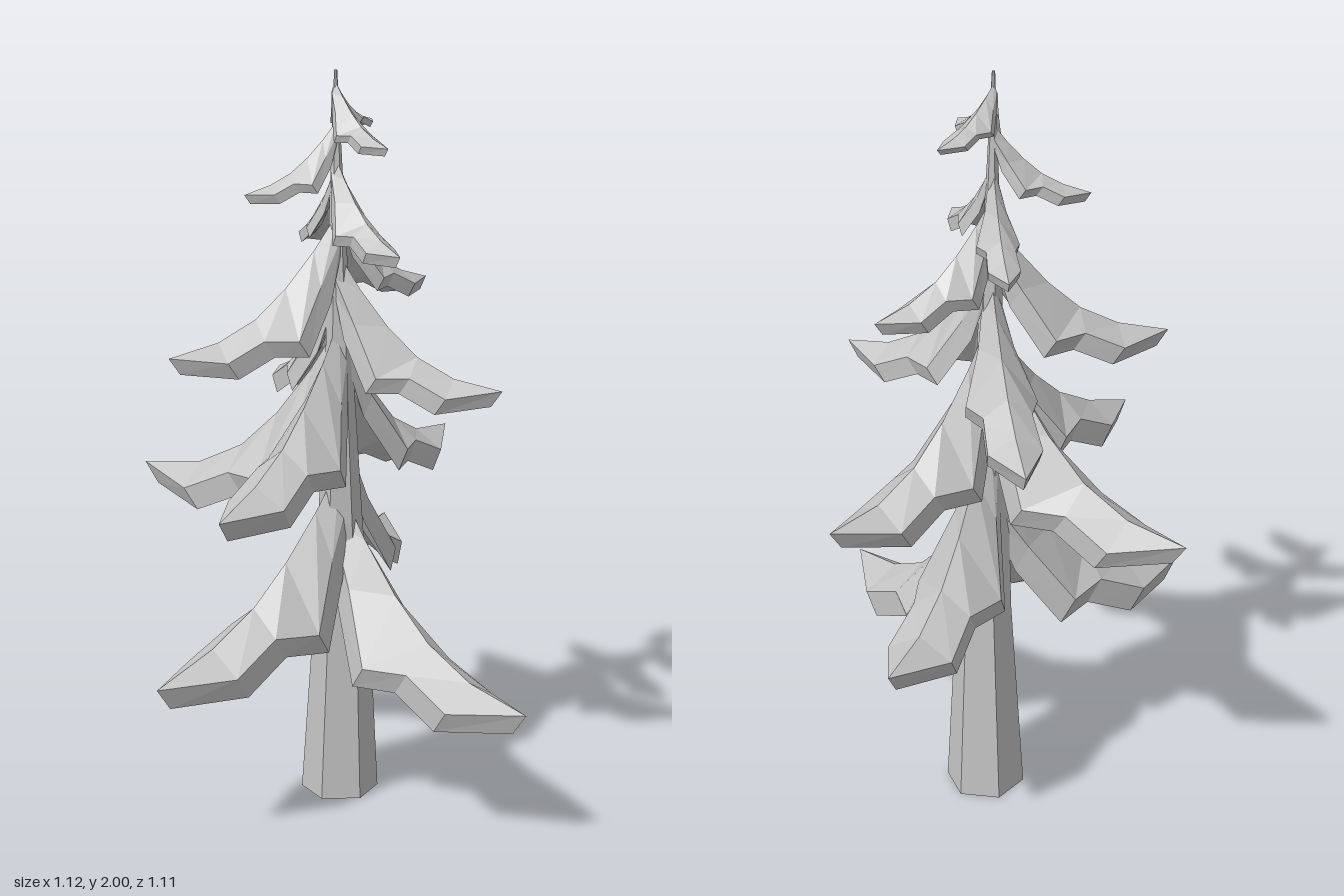
import * as THREE from 'three';

const grey = new THREE.MeshStandardMaterial({ color: 0xc4c4c4 });
grey.name = 'grey';

// Closed, flat-shaded solid through a series of equal-sized rings
function loft(rings) {
  const n = rings[0].length, index = [];
  const last = (rings.length - 1) * n;
  for (let k = 0; k < rings.length - 1; k++) {
    for (let i = 0; i < n; i++) {
      const a = k * n + i, b = k * n + (i + 1) % n;
      index.push(a, b, a + n, b, b + n, a + n);
    }
  }
  for (let i = 1; i < n - 1; i++) {
    index.push(0, i + 1, i, last, last + i, last + i + 1);
  }
  const g = new THREE.BufferGeometry();
  g.setAttribute('position', new THREE.Float32BufferAttribute(rings.flat(2), 3));
  g.setIndex(index);
  const flat = g.toNonIndexed();
  flat.computeVertexNormals();
  return flat;
}

// Trunk stations: height, centre x, centre z, radius
const TRUNK = [
  [0, 0.091, -0.108, 0.107],
  [0.56, 0.088, -0.094, 0.074],
  [0.8, 0.07, -0.073, 0.06],
  [1.2, 0.052, -0.05, 0.038],
  [1.6, 0.045, -0.05, 0.022],
  [2, 0.04, -0.05, 0.004],
];

// Trunk centre at a given height
function axisAt(y) {
  for (let k = 1; k < TRUNK.length; k++) {
    const a = TRUNK[k - 1], b = TRUNK[k];
    if (y <= b[0]) {
      const f = (y - a[0]) / (b[0] - a[0]);
      return [a[1] + (b[1] - a[1]) * f, a[2] + (b[2] - a[2]) * f];
    }
  }
  return [0.04, -0.05];
}

// Branch stations, in branch lengths: reach, ridge height, half width, edge height
const BRANCH = [
  [0, 0.74, 0.05, 0.6],
  [0.14, 0.56, 0.1, 0.37],
  [0.31, 0.375, 0.2, 0.11],
  [0.49, 0.22, 0.135, 0.12],
  [0.71, 0.1, 0.15, 0.01],
  [1, 0, 0, 0],
];

// Branch tips: x, y, z and how far the middle sags, in branch lengths
const TIPS = [
  [0.24, 0.41, 0.55, 0.05], [-0.56, 0.48, 0.06, 0], [0.48, 0.65, -0.48, 0.08],
  [-0.275, 0.9, -0.555, 0.08], [-0.45, 0.94, 0.2, 0], [0.555, 0.96, -0.275, 0.08],
  [0.13, 1.14, -0.5, 0], [0.32, 1.2, 0.31, 0.06], [-0.415, 1.29, -0.12, 0.04],
  [0.38, 1.43, -0.13, 0.02], [0.045, 1.56, 0.245, 0], [0.1, 1.56, -0.31, 0],
  [-0.19, 1.69, -0.12, 0], [0.05, 1.82, 0.18, 0], [0.225, 1.86, -0.165, 0.02],
];

function branchGeometry([tx, ty, tz, sag]) {
  const [rx, rz] = axisAt(Math.min(2, ty + 0.35));
  const len = Math.hypot(tx - rx, tz - rz);
  const dx = (tx - rx) / len, dz = (tz - rz) / len;
  const lift = Math.min(1, (1.97 - ty) / (0.74 * len));
  const thick = 0.095;
  const point = (t, side, h) => [
    rx + (dx * t - dz * side) * len,
    ty + h * len * lift,
    rz + (dz * t + dx * side) * len,
  ];
  return loft(BRANCH.map(([t, ridge, w, edge]) => {
    const drop = 4 * sag * t * (1 - t);
    const top = ridge - drop, rim = edge - drop;
    const under = Math.max(0, t - 0.065);
    return [
      point(t, -w, rim), point(t, 0, top), point(t, w, rim),
      point(under, w * 0.95, rim - thick),
      point(under, 0, top - thick),
      point(under, -w * 0.95, rim - thick),
    ];
  }));
}

export function createModel() {
  const tree = new THREE.Group();
  tree.name = 'firTree';

  // Six-sided leaning trunk
  const trunk = new THREE.Mesh(loft(TRUNK.map(([y, x, z, r]) =>
    Array.from({ length: 6 }, (_, i) => {
      const a = Math.PI / 2 + i * Math.PI / 3;
      return [x + r * Math.cos(a), y, z - r * Math.sin(a)];
    }))), grey);
  trunk.name = 'trunk';
  tree.add(trunk);

  // Drooping ridged branches, lowest first
  TIPS.forEach((tip, i) => {
    const branch = new THREE.Mesh(branchGeometry(tip), grey);
    branch.name = `branch${i + 1}`;
    tree.add(branch);
  });
  return tree;
}
